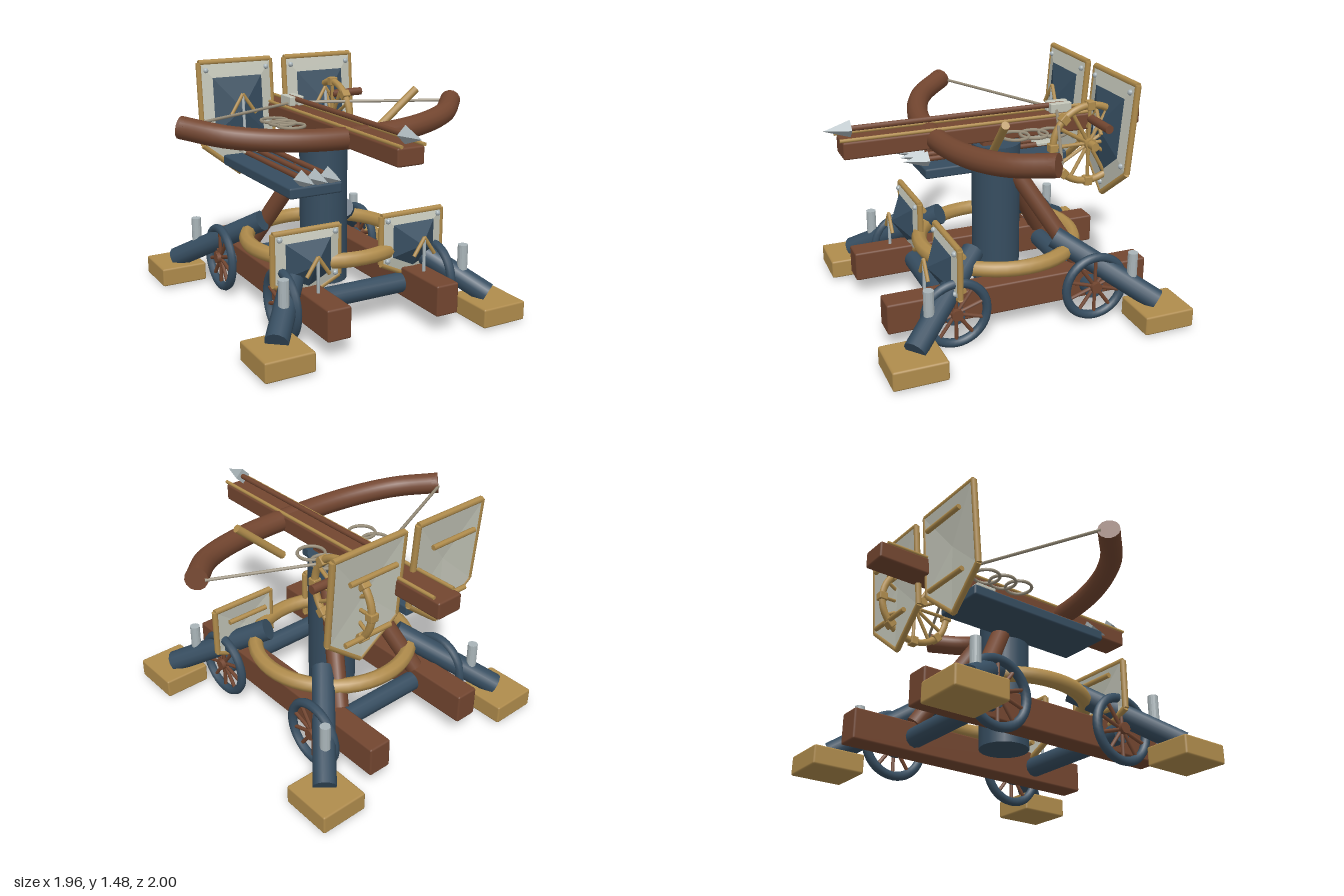
import * as THREE from 'three';
import { RoundedBoxGeometry } from 'three/addons/geometries/RoundedBoxGeometry.js';

const mat = (color, flatShading = false) =>
  new THREE.MeshStandardMaterial({ color, flatShading });
const V = (x, y, z) => new THREE.Vector3(x, y, z);

export function createModel() {
  const root = new THREE.Group();
  const wood = mat(0x734630), gold = mat(0xb08c4c), steel = mat(0x364d60);
  const cream = mat(0xc3c5b8, true), silver = mat(0xa9b4b8, true), cord = mat(0x9a907c);

  const add = (parent, name, geo, material, x = 0, y = 0, z = 0) => {
    const m = new THREE.Mesh(geo, material);
    m.name = name;
    m.position.set(x, y, z);
    parent.add(m);
    return m;
  };
  const group = (name, parent = root) => {
    const g = new THREE.Group();
    g.name = name;
    parent.add(g);
    return g;
  };
  const box = (p, name, m, w, h, d, x, y, z, r = 0.012) =>
    add(p, name, new RoundedBoxGeometry(w, h, d, 1, r), m, x, y, z);
  // round bar between two points
  const rod = (p, name, m, a, b, r, sides = 12, r2 = r) => {
    const mid = a.clone().add(b).multiplyScalar(0.5);
    const mesh = add(p, name, new THREE.CylinderGeometry(r2, r, a.distanceTo(b), sides), m, mid.x, mid.y, mid.z);
    mesh.quaternion.setFromUnitVectors(V(0, 1, 0), b.clone().sub(a).normalize());
    return mesh;
  };

  // bolt pointing to +z, with four-sided head
  const bolt = (name, x, y, tail, tip) => {
    const g = group(name);
    rod(g, 'shaft', wood, V(x, y, tail), V(x, y, tip - 0.14), 0.017, 8);
    rod(g, 'head', silver, V(x, y, tip - 0.155), V(x, y, tip), 0.052, 4, 0);
    return g;
  };

  // spoked wheel in the y-z plane
  const wheel = (name, x, y, z, R, tube, rimMat, spokeMat, spokes) => {
    const g = group(name);
    g.position.set(x, y, z);
    add(g, 'rim', new THREE.TorusGeometry(R, tube, 8, 40), rimMat).rotation.y = Math.PI / 2;
    rod(g, 'hub', spokeMat, V(-0.035, 0, 0), V(0.035, 0, 0), 0.035);
    for (let i = 0; i < spokes; i++) {
      const a = (i / spokes) * Math.PI * 2;
      rod(g, 'spoke', spokeMat, V(0, 0, 0), V(0, Math.cos(a) * R, Math.sin(a) * R), 0.012, 6);
    }
    return g;
  };

  // five-sided closed shield with pyramid boss, frame, rivets and grips
  const shield = (name, x, top, z, w, side, height, boss, tilt) => {
    const g = group(name);
    g.position.set(x, top - height / 2, z);
    g.rotation.x = tilt;
    const h = height / 2;
    const outline = [[-w, h], [-w, h - side], [0, -h], [w, h - side], [w, h]];
    const cy = h - side * 0.58;
    const loop = (s, d) => outline.map(([px, py]) => [px * s, cy + (py - cy) * s, d]);
    const back = loop(1, -0.015), outer = loop(1, 0.012), inner = loop(0.68, 0.03);
    const plate = [], pyramid = [];
    for (let i = 0; i < 5; i++) {
      const j = (i + 1) % 5;
      for (const [a, b] of [[outer, inner], [back, outer]])
        plate.push(...a[i], ...a[j], ...b[j], ...a[i], ...b[j], ...b[i]);
      plate.push(...back[j], ...back[i], 0, cy, 0.01);
      pyramid.push(...inner[i], ...inner[j], 0, cy, boss);
    }
    const tri = (list) => {
      const geo = new THREE.BufferGeometry();
      geo.setAttribute('position', new THREE.Float32BufferAttribute(list, 3));
      geo.computeVertexNormals();
      return geo;
    };
    add(g, 'shieldPlate', tri(plate), cream);
    add(g, 'shieldBoss', tri(pyramid), steel);
    const rivets = loop(0.84, 0.022);
    outline.forEach((p, i) => {
      rod(g, 'frameBar', gold, V(...p, 0), V(...outline[(i + 1) % 5], 0), 0.019, 8);
      add(g, 'rivet', new THREE.SphereGeometry(0.017, 10, 8), silver, ...rivets[i]);
    });
    // crossed bars in front of the boss
    const f = boss + 0.015, k = w * 0.34, ty = cy + h * 0.27;
    rod(g, 'frontBar', silver, V(0, ty, f), V(0, ty - w, f), 0.01, 8);
    for (const s of [-1, 1])
      rod(g, 'frontBrace', gold, V(0, ty, f), V(s * k, ty - k * 1.5, f), 0.012, 8);
    for (const y of [h * 0.6, -h * 0.48])
      rod(g, 'rearGrip', gold, V(-w * 0.66, y, -0.05), V(w * 0.66, y, -0.05), 0.016, 8);
  };

  // chassis: side beams, outriggers, feet, pins, wheels, braces
  for (const s of [-1, 1]) {
    const side = s > 0 ? 'left' : 'right';
    box(root, side + 'Beam', wood, 0.15, 0.19, 1.685, s * 0.361, 0.21, -0.048);
    rod(root, side + 'Brace', wood, V(s * 0.1, 0.87, -0.14), V(s * 0.31, 0.3, -0.48), 0.055);
    for (const [end, dir, zc] of [['Front', 1, 0.73], ['Back', -1, -0.825]]) {
      const shift = dir > 0 ? 0 : -0.095;
      box(root, side + end + 'Foot', gold, 0.3, 0.12, 0.325, s * 0.71, 0.08, zc);
      rod(root, side + end + 'Outrigger', steel,
        V(s * 0.3, 0.49, dir * 0.22 + shift), V(s * 0.71, 0.155, dir * 0.72 + shift), 0.068);
      rod(root, side + end + 'Pin', silver, V(s * 0.605, 0.24, dir * 0.6 + shift), V(s * 0.605, 0.452, dir * 0.6 + shift), 0.031, 16);
      wheel(side + end + 'Wheel', s * 0.523, 0.225, dir > 0 ? 0.41 : -0.49, 0.192, 0.028, steel, wood, 10);
    }
    shield(side + 'BackShield', s * 0.302, 1.472, -0.662, 0.25, 0.53, 0.73, 0.09, -0.08);
    shield(side + 'FrontShield', s * 0.36, 0.64, 0.4, 0.213, 0.3, 0.4, 0.13, 0);
  }
  for (const z of [0.41, -0.49])
    rod(root, 'axle', steel, V(-0.52, 0.205, z), V(0.52, 0.205, z), 0.062);

  // turning ring and column
  add(root, 'baseRing', new THREE.TorusGeometry(0.485, 0.048, 8, 48), gold, 0, 0.42, -0.05).rotation.x = Math.PI / 2;
  rod(root, 'column', steel, V(0, 0.145, -0.05), V(0, 1.05, -0.05), 0.15, 20);
  box(root, 'columnHead', wood, 0.13, 0.08, 0.12, 0, 1.065, 0.0);

  // stock with top rails
  box(root, 'stock', wood, 0.172, 0.105, 1.91, 0, 1.13, -0.045);
  for (const s of [-1, 1]) {
    rod(root, 'rail', gold, V(s * 0.073, 1.192, -0.95), V(s * 0.073, 1.192, 0.925), 0.011, 8);
    box(root, 'catch', cream, 0.04, 0.06, 0.14, s * 0.029, 1.225, -0.465, 0.005);
  }
  bolt('loadedBolt', 0, 1.237, -0.5, 1.0);

  // bow and string
  const half = [[0.922, 1.212, -0.005], [0.73, 1.175, 0.185], [0.42, 1.145, 0.312]];
  const bowPoints = [...half.map(([x, y, z]) => V(-x, y, z)), V(0, 1.132, 0.355),
    ...half.slice().reverse().map((p) => V(...p))];
  add(root, 'bow', new THREE.TubeGeometry(new THREE.CatmullRomCurve3(bowPoints), 40, 0.066, 14), wood);
  for (const s of [-1, 1]) {
    rod(root, 'bowTip', wood, V(s * 0.905, 1.209, 0.012), V(s * 0.932, 1.214, -0.016), 0.066, 14);
    rod(root, 'bowString', cord, V(s * 0.9, 1.21, -0.05), V(0, 1.21, -0.455), 0.01, 6);
    // spare cord coils
    for (let i = 0; i < 3; i++)
      add(root, 'cordCoil', new THREE.TorusGeometry(0.082, 0.01, 6, 28), cord, s * 0.197, 1.13 + i * 0.004, -0.335 + i * 0.122).rotation.x = Math.PI / 2;
  }

  // tray with spare bolts
  box(root, 'boltTray', steel, 0.34, 0.065, 0.96, -0.272, 0.85, -0.11);
  for (const x of [-0.35, -0.265, -0.18]) {
    const g = bolt('spareBolt', x, 0.923, -0.52, 0.485);
    box(g, 'boltVane', cream, 0.06, 0.02, 0.13, x, 0.93, -0.465, 0.004);
  }

  // winding wheel with rim blocks, axle and crank
  const winch = wheel('winchWheel', 0.325, 1.08, -0.512, 0.235, 0.022, gold, gold, 12);
  for (let i = 0; i < 8; i++) {
    const a = (i / 8) * Math.PI * 2;
    const b = box(winch, 'rimBlock', gold, 0.055, 0.055, 0.05, 0, Math.cos(a) * 0.235, Math.sin(a) * 0.235, 0.006);
    b.rotation.x = a;
  }
  rod(winch, 'winchAxle', gold, V(-0.11, 0, 0), V(0.09, 0, 0), 0.026);
  rod(winch, 'crankHandle', wood, V(0, 0.15, -0.01), V(0.225, 0.15, -0.01), 0.026);

  // aiming lever
  rod(root, 'lever', gold, V(0.27, 1.075, 0.085), V(0.56, 1.335, 0.125), 0.024);
  return root;
}
